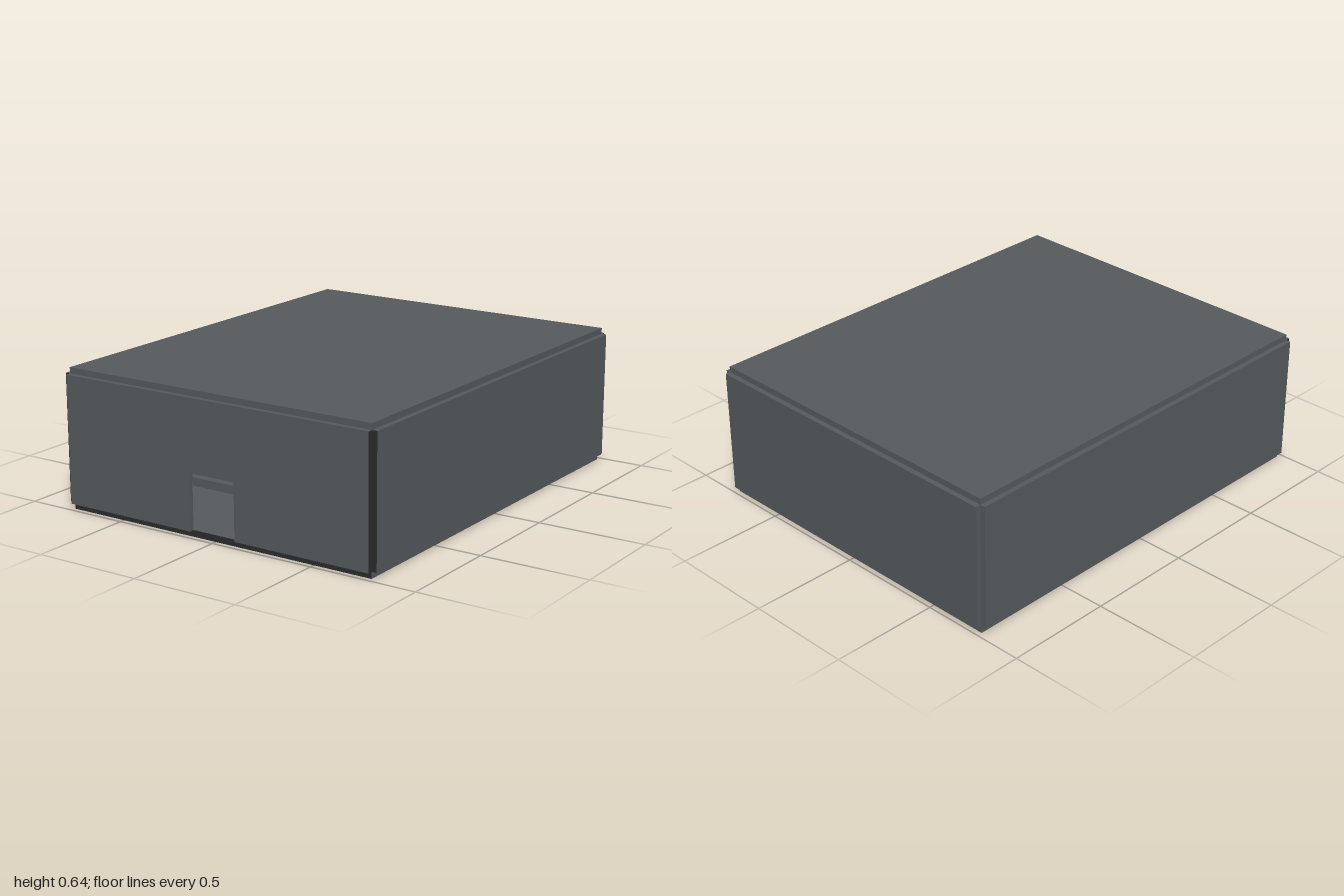
import * as THREE from 'three';

const shell = new THREE.MeshStandardMaterial({ color: 0x565a5d });
shell.name = 'slate grey';
const dark = new THREE.MeshStandardMaterial({ color: 0x2a2b2c });
dark.name = 'dark grey';

// Box given by its limits; face order is +x, -x, +y, -y, +z, -z
function slab(parent, name, x, y, z, darkFaces = []) {
  const geo = new THREE.BoxGeometry(x[1] - x[0], y[1] - y[0], z[1] - z[0]);
  const mats = [0, 1, 2, 3, 4, 5].map((i) => (darkFaces.includes(i) ? dark : shell));
  const mesh = new THREE.Mesh(geo, darkFaces.length ? mats : shell);
  mesh.name = name;
  mesh.position.set((x[0] + x[1]) / 2, (y[0] + y[1]) / 2, (z[0] + z[1]) / 2);
  parent.add(mesh);
  return mesh;
}

export function createModel() {
  const model = new THREE.Group();
  model.name = 'enclosure';

  // Panel planes: inner and outer faces meet along the stepped edges
  const W = 0.78, WO = 0.804, D = 0.976, DO = 1;
  const y0 = 0.03, y1 = 0.614, top = 0.642;
  const slot = 0.117, slotTop = 0.288;

  // Floor, lid and back
  slab(model, 'floorPanel', [-W, W], [0, y0], [-D, D], [4]);
  slab(model, 'lidPanel', [-W, W], [y1, top], [-D, D]);
  slab(model, 'backPanel', [-W, W], [y0, y1], [-DO, -D]);

  // Side walls
  slab(model, 'leftPanel', [W, WO], [y0, y1], [-D, D], [4]);
  slab(model, 'rightPanel', [-WO, -W], [y0, y1], [-D, D], [4]);

  // Front wall in three pieces around the slot
  const front = new THREE.Group();
  front.name = 'frontPanel';
  model.add(front);
  slab(front, 'frontLeft', [slot, W], [y0, y1], [D, DO], [0]);
  slab(front, 'frontRight', [-W, -slot], [y0, y1], [D, DO], [1]);
  slab(front, 'frontAboveSlot', [-slot, slot], [slotTop, y1], [D, DO]);

  // Mechanism seen through the slot
  const inside = new THREE.Group();
  inside.name = 'interior';
  model.add(inside);
  slab(inside, 'deck', [-0.5, 0.5], [y0, 0.07], [-0.3, 0.5]);
  slab(inside, 'socketBase', [-0.045, 0.045], [0.07, 0.117], [0.2, 0.46]);
  slab(inside, 'socketCollar', [-0.04, 0.04], [0.117, 0.128], [0.2, 0.44]);
  slab(inside, 'socketPost', [-0.037, 0.037], [0.128, 0.2], [0.2, 0.42]);
  for (const s of [-1, 1]) {
    const rail = slab(inside, 'sideRail', [0.09, 0.3], [0.078, 0.13], [0.1, 0.47], [0, 1, 4]);
    rail.position.x *= s;
    const foot = slab(inside, 'railFoot', [0.1, 0.28], [0.07, 0.078], [0.12, 0.46]);
    foot.position.x *= s;
  }
  return model;
}
